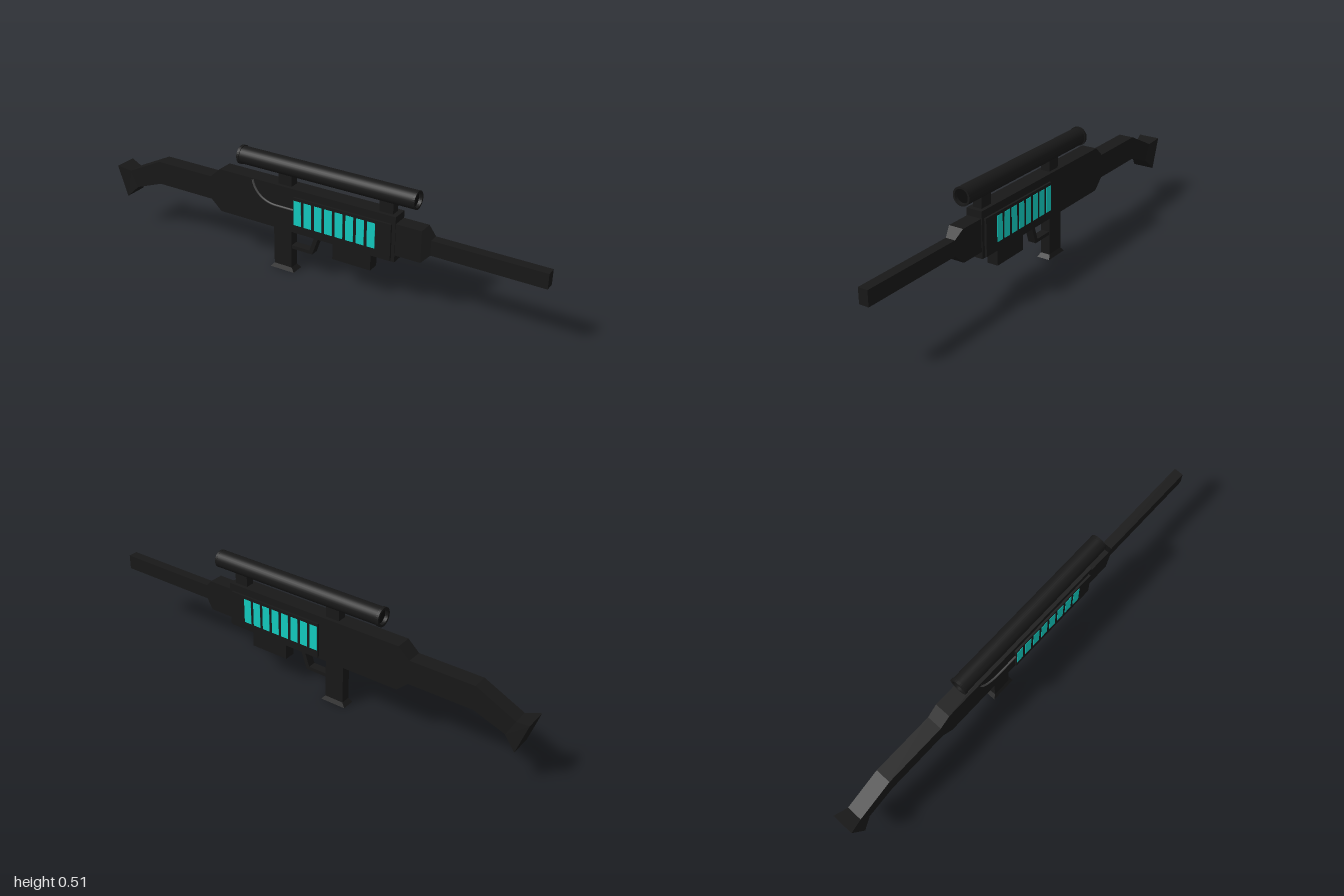
import * as THREE from 'three';

const mat = (color, side = THREE.FrontSide) => new THREE.MeshStandardMaterial({ color, side });
const dark = mat(0x181818);
dark.flatShading = true;
const smoothDark = mat(0x181818);
const lensMat = mat(0x0c0c0c);
const glow = mat(0x12ccc0);
const wireMat = mat(0x4a4a4a);

// Rectangular loft: each station is [topX, topY, bottomX, bottomY, halfWidth], ordered along +x
function loft(stations) {
  const pos = [];
  const ring = ([tx, ty, bx, by, w]) => [[tx, ty, w], [tx, ty, -w], [bx, by, -w], [bx, by, w]];
  const quad = (a, b, c, d) => pos.push(...a, ...b, ...c, ...a, ...c, ...d);
  const rings = stations.map(ring);
  for (let i = 0; i < rings.length - 1; i++) {
    const p = rings[i], q = rings[i + 1];
    for (let j = 0; j < 4; j++) {
      const k = (j + 1) % 4;
      quad(p[j], q[j], q[k], p[k]);
    }
  }
  const s = rings[0], e = rings[rings.length - 1];
  quad(s[0], s[1], s[2], s[3]);
  quad(e[3], e[2], e[1], e[0]);
  const g = new THREE.BufferGeometry();
  g.setAttribute('position', new THREE.Float32BufferAttribute(pos, 3));
  g.computeVertexNormals();
  return g;
}

export function createModel() {
  const model = new THREE.Group();
  model.name = 'rifle';
  const add = (name, geometry, material = dark) => {
    const m = new THREE.Mesh(geometry, material);
    m.name = name;
    model.add(m);
    return m;
  };
  // Box given by its limits
  const box = (name, x0, x1, y0, y1, z0, z1, material = dark) => {
    const m = add(name, new THREE.BoxGeometry(x1 - x0, y1 - y0, z1 - z0), material);
    m.position.set((x0 + x1) / 2, (y0 + y1) / 2, (z0 + z1) / 2);
    return m;
  };

  // Flared butt, bent stock and receiver in one run
  add('stockAndReceiver', loft([
    [-1, 0.277, -0.955, 0.14, 0.049],
    [-0.94, 0.262, -0.905, 0.19, 0.034],
    [-0.77, 0.345, -0.77, 0.24, 0.034],
    [-0.49, 0.345, -0.49, 0.24, 0.034],
    [-0.44, 0.39, -0.44, 0.195, 0.035],
    [0.39, 0.39, 0.39, 0.195, 0.035],
  ]));

  // Shroud tapering to the square barrel
  add('barrel', loft([
    [0.38, 0.36, 0.38, 0.224, 0.032],
    [0.5, 0.36, 0.5, 0.224, 0.032],
    [0.535, 0.325, 0.535, 0.261, 0.021],
    [1, 0.325, 1, 0.261, 0.021],
  ]));

  // Side panels with a row of glowing cells
  for (const s of [1, -1]) {
    const span = (a, b) => (s > 0 ? [a, b] : [-b, -a]);
    box('sidePanel', -0.07, 0.375, 0.2, 0.358, ...span(0.03, 0.044));
    for (let i = 0; i < 8; i++) {
      const x = -0.067 + i * 0.0484;
      box('energyCell', x, x + 0.035, 0.236, 0.345, ...span(0.04, 0.0455), glow);
    }
  }

  // Cable curving down from the top edge to the front panel
  const cable = new THREE.CurvePath();
  const P = (x, y) => new THREE.Vector3(x, y, 0.038);
  cable.add(new THREE.CubicBezierCurve3(P(-0.27, 0.388), P(-0.262, 0.335), P(-0.22, 0.3), P(-0.16, 0.298)));
  cable.add(new THREE.LineCurve3(P(-0.16, 0.298), P(-0.065, 0.298)));
  add('cable', new THREE.TubeGeometry(cable, 28, 0.0045, 8, false), wireMat);

  // Grip with flared foot
  box('grip', -0.18, -0.095, 0.012, 0.2, -0.021, 0.021);
  const foot = new THREE.BoxGeometry(0.085, 0.017, 0.042);
  const fp = foot.attributes.position;
  for (let i = 0; i < fp.count; i++) {
    if (fp.getY(i) < 0) {
      fp.setX(i, fp.getX(i) * 1.36);
      fp.setZ(i, fp.getZ(i) * 1.42);
    }
  }
  foot.computeVertexNormals();
  add('gripFoot', foot).position.set(-0.1375, 0.0085, 0);

  // Bent trigger guard
  const guard = new THREE.Shape([
    [-0.1, 0.107], [0.004, 0.107], [0.037, 0.2], [0.018, 0.2], [-0.009, 0.122], [-0.1, 0.122],
  ].map(([x, y]) => new THREE.Vector2(x, y)));
  add('triggerGuard', new THREE.ExtrudeGeometry(guard, { depth: 0.036, bevelEnabled: false })).position.z = -0.018;

  // Magazine under the receiver
  box('magazine', 0.105, 0.28, 0.12, 0.2, -0.025, 0.025);

  // Scope body with slightly raised rear rim and recessed ends
  const scope = new THREE.Group();
  scope.name = 'scope';
  scope.position.y = 0.467;
  scope.rotation.z = -Math.PI / 2;
  model.add(scope);
  const part = (name, geometry, material, y) => {
    const m = new THREE.Mesh(geometry, material);
    m.name = name;
    m.position.y = y;
    scope.add(m);
  };
  part('scopeTube', new THREE.CylinderGeometry(0.0375, 0.0375, 0.806, 32, 1, true), smoothDark, 0.062);
  const rim = (y0, y1, r, inY) => new THREE.LatheGeometry(
    [[0.03, inY], [0.03, y0], [r, y0], [r, y1], [0.037, y1]].map(([x, y]) => new THREE.Vector2(x, y)), 32);
  const rimMat = mat(0x181818, THREE.DoubleSide);
  rimMat.flatShading = true;
  part('scopeRearRim', rim(-0.348, -0.336, 0.0405, -0.33), rimMat, 0);
  part('scopeFrontRim', rim(0.465, 0.455, 0.038, 0.447), rimMat, 0);
  part('rearLens', new THREE.CylinderGeometry(0.031, 0.031, 0.004, 32), lensMat, -0.332);
  part('frontLens', new THREE.CylinderGeometry(0.031, 0.031, 0.004, 32), lensMat, 0.449);

  // Scope mounts
  for (const [x0, x1] of [[-0.155, -0.092], [0.31, 0.37]]) {
    box('scopeMount', x0, x1, 0.38, 0.445, -0.02, 0.02);
  }

  return model;
}
